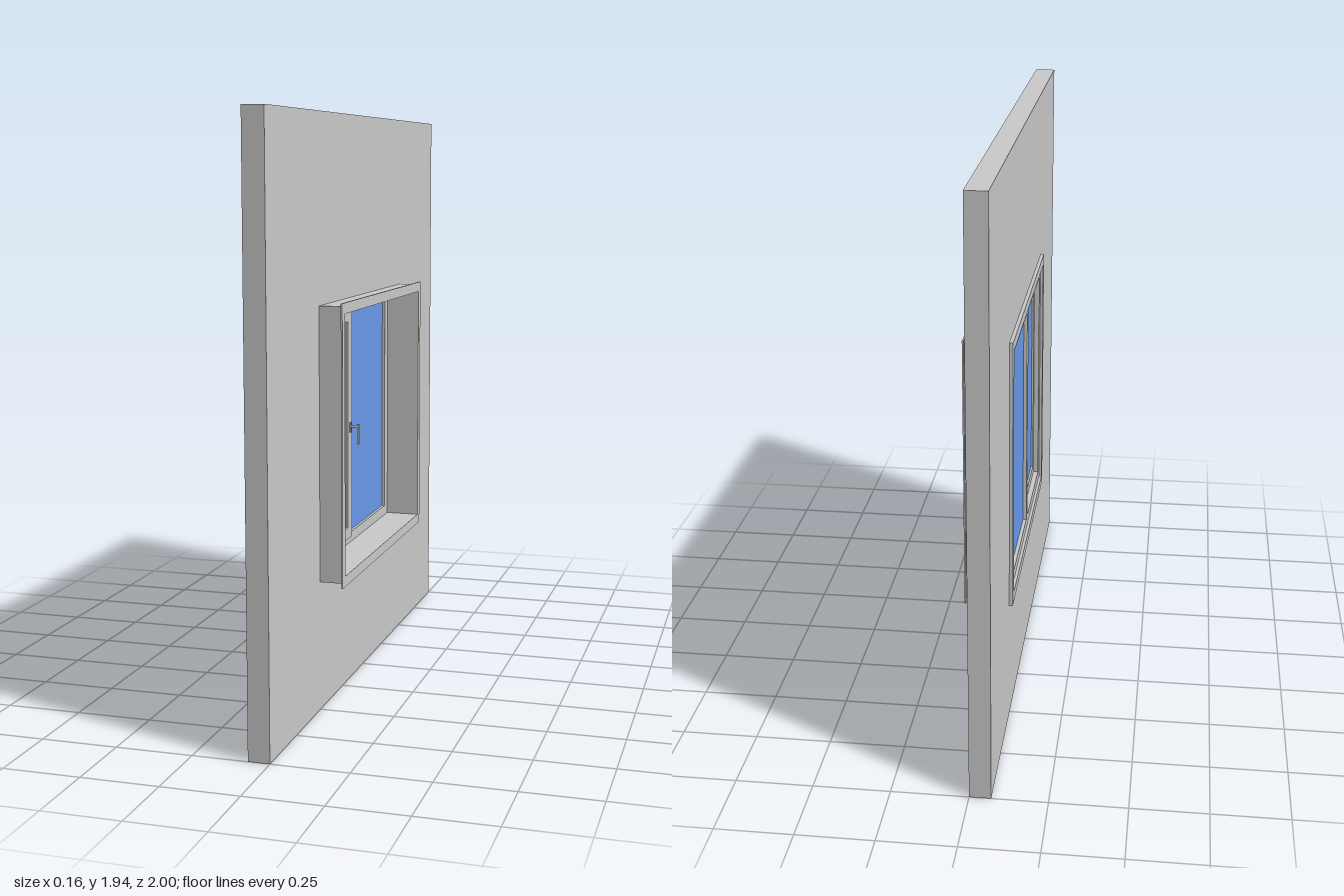
import * as THREE from 'three';

const grey = new THREE.MeshStandardMaterial({ color: 0xcccccc });
const blue = new THREE.MeshStandardMaterial({ color: 0x6c9bee });

// Rectangles are [zMin, zMax, yMin, yMax]
function trace(path, [z0, z1, y0, y1]) {
  path.moveTo(-z1, y0);
  path.lineTo(-z0, y0);
  path.lineTo(-z0, y1);
  path.lineTo(-z1, y1);
  path.closePath();
  return path;
}

// Upright slab from x0 to x1 with rectangular openings
function panel(name, x0, x1, outer, holes = [], material = grey) {
  const shape = trace(new THREE.Shape(), outer);
  shape.holes = holes.map((h) => trace(new THREE.Path(), h));
  const geometry = new THREE.ExtrudeGeometry(shape, { depth: x1 - x0, bevelEnabled: false });
  geometry.rotateY(Math.PI / 2).translate(x0, 0, 0);
  const mesh = new THREE.Mesh(geometry, material);
  mesh.name = name;
  return mesh;
}

function box(name, size, position) {
  const mesh = new THREE.Mesh(new THREE.BoxGeometry(...size), grey);
  mesh.position.set(...position);
  mesh.name = name;
  return mesh;
}

export function createModel() {
  const model = new THREE.Group();
  model.name = 'windowInWall';

  const boxOuter = [-0.5, 0.5, 0.43, 1.33];
  const opening = [-0.48, 0.48, 0.45, 1.305];
  const trimOuter = [-0.51, 0.51, 0.415, 1.34];
  const fixedPane = [-0.44, 0.01, 0.485, 1.27];
  const sashBay = [0.05, 0.44, 0.485, 1.27];
  const sashPane = [0.08, 0.42, 0.515, 1.24];

  // Wall and the deep lining with a trim at each end
  model.add(
    panel('wall', -0.07, 0, [-1, 1, 0, 1.94], [boxOuter]),
    panel('lining', -0.07, 0.075, boxOuter, [opening]),
    panel('innerTrim', 0.075, 0.08, trimOuter, [opening]),
    panel('outerTrim', -0.082, -0.07, trimOuter, [opening]),
  );

  // Window frame with a fixed pane and an opening sash
  model.add(
    panel('windowFrame', -0.072, -0.04, opening, [fixedPane, sashBay]),
    panel('fixedGlass', -0.06, -0.05, fixedPane, [], blue),
    panel('sash', -0.054, -0.03, [0.03, 0.45, 0.475, 1.28], [sashPane]),
    panel('sashGlass', -0.047, -0.037, sashPane, [], blue),
  );

  // Lever handle on the sash stile
  const handle = new THREE.Group();
  handle.name = 'handle';
  const spindle = new THREE.Mesh(new THREE.CylinderGeometry(0.004, 0.004, 0.03, 12), grey);
  spindle.rotation.z = Math.PI / 2;
  spindle.position.set(-0.015, 0.872, 0.056);
  spindle.name = 'handleSpindle';
  handle.add(
    box('handlePlate', [0.004, 0.035, 0.012], [-0.028, 0.868, 0.056]),
    spindle,
    box('handleLever', [0.007, 0.07, 0.009], [0, 0.845, 0.055]),
  );
  model.add(handle);

  return model;
}
